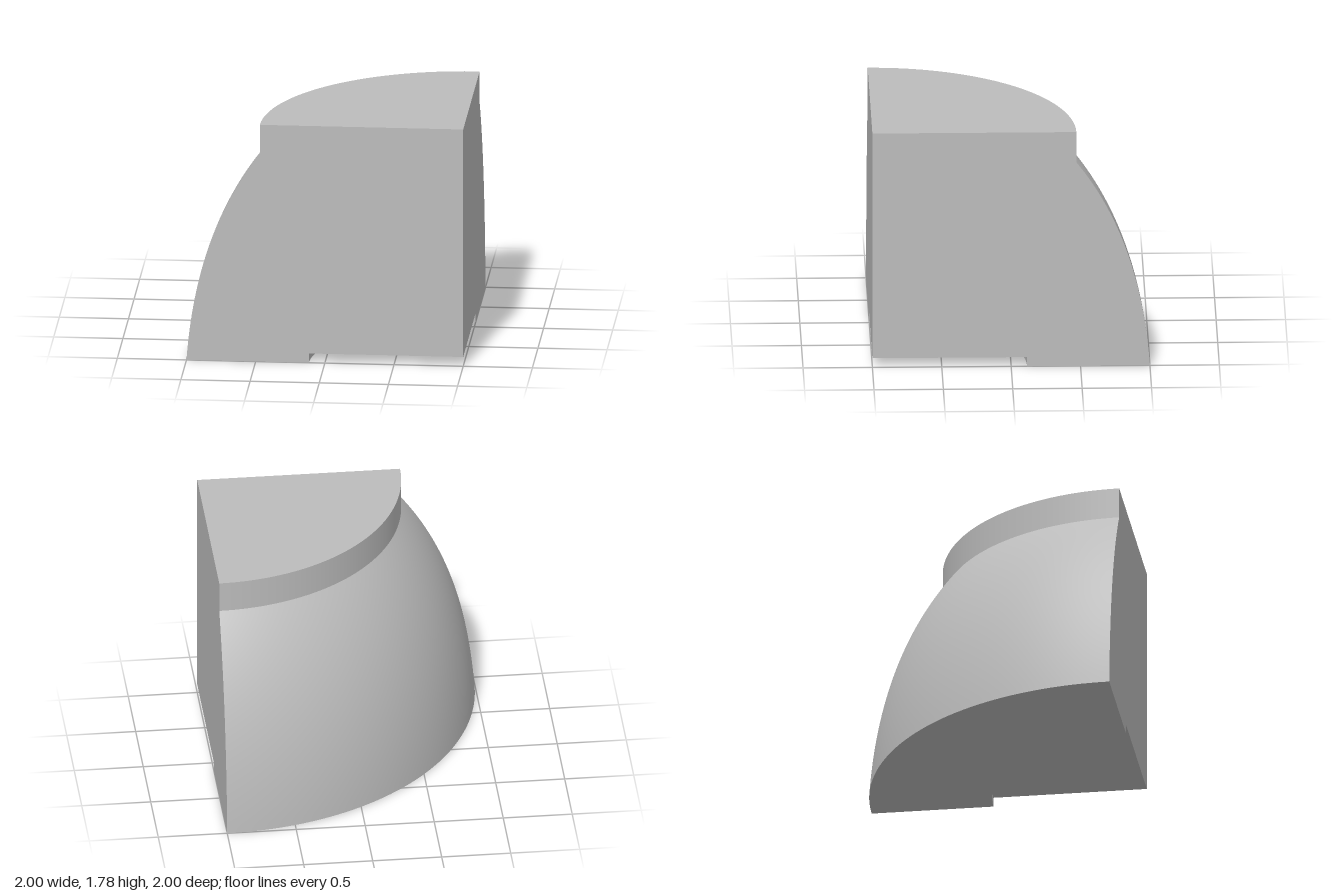
import * as THREE from 'three';

const V = (r, y) => new THREE.Vector2(r, y);

export function createModel() {
  const group = new THREE.Group();
  group.name = 'quarterDome';
  const grey = new THREE.MeshStandardMaterial({ color: 0xbcbcbc });
  grey.name = 'grey';

  const add = (name, geometry, x = 0, z = 0) => {
    const mesh = new THREE.Mesh(geometry, grey);
    mesh.name = name;
    mesh.position.set(x, 0, z);
    group.add(mesh);
  };

  // Half section as (radius, height) around the corner axis
  const height = 1.78, neck = 1.47, recess = 1.115, step = 0.07;
  const dome = new THREE.QuadraticBezierCurve(V(2, 0), V(1.932, 0.968), V(neck, 1.55)).getPoints(32);

  // Quarter-turn surfaces; separate sections keep the edges sharp
  const sections = {
    recessCeiling: [V(0, step), V(recess, step)],
    recessWall: [V(recess, step), V(recess, 0)],
    baseRing: [V(recess, 0), V(2, 0)],
    domeWall: dome,
    neckWall: [V(neck, 1.55), V(neck, height)],
    topFace: [V(neck, height), V(0, height)],
  };
  for (const [name, points] of Object.entries(sections)) {
    add(name, new THREE.LatheGeometry(points, 64, Math.PI, Math.PI / 2), 1, 1);
  }

  // Flat cut faces, filling the section on both sides of the quarter
  const outline = [V(0, step), V(recess, step), V(recess, 0), ...dome, V(neck, height), V(0, height)];
  const cut = (side) => new THREE.ShapeGeometry(new THREE.Shape(outline.map((p) => V(side * p.x, p.y))));
  add('frontCut', cut(-1), 1, 1);
  add('leftCut', cut(1).rotateY(Math.PI / 2), 1, 1);

  // The recess stops at a thin corner: the cut faces run down to the ground over it
  return group;
}
